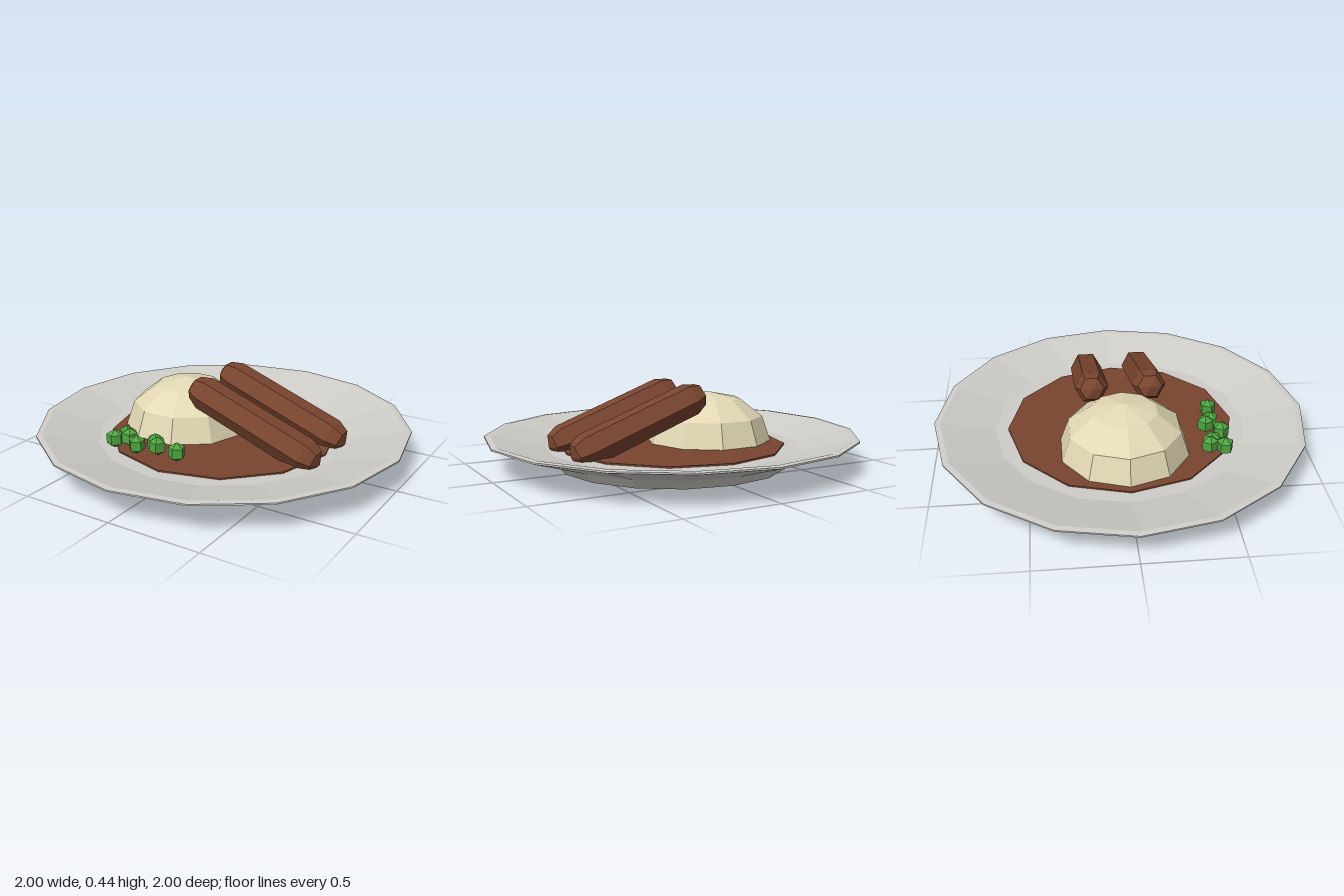
import * as THREE from 'three';

const material = (name, color) => {
  const m = new THREE.MeshStandardMaterial({ color, flatShading: true });
  m.name = name;
  return m;
};

export function createModel() {
  const model = new THREE.Group();
  model.name = 'plateOfFood';
  const ceramic = material('ceramicGrey', 0xcfcdc8);
  const brown = material('gravyBrown', 0x7a4530);
  const cream = material('mashCream', 0xe2d8b5);
  const green = material('peaGreen', 0x4fa640);

  const add = (name, geometry, mat, x = 0, y = 0, z = 0) => {
    const mesh = new THREE.Mesh(geometry, mat);
    mesh.name = name;
    mesh.position.set(x, y, z);
    model.add(mesh);
    return mesh;
  };

  // Plate: foot, sloping underside, thin rim, sloping inside and flat floor
  const profile = [
    [0, 0], [0.62, 0], [0.66, 0.05], [1, 0.157], [1, 0.165],
    [0.97, 0.168], [0.68, 0.1], [0, 0.1],
  ].map(([r, y]) => new THREE.Vector2(r, y));
  add('plate', new THREE.LatheGeometry(profile, 16), ceramic);

  // Gravy pool
  add('gravy', new THREE.CylinderGeometry(0.61, 0.61, 0.008, 12), brown, 0, 0.104, 0);

  // Mash: flattened ten-sided dome
  const dome = new THREE.SphereGeometry(0.345, 10, 3, 0, Math.PI * 2, 0, Math.PI / 2);
  dome.scale(1, 0.265 / 0.345, 1);
  add('mash', dome, cream, -0.23, 0.11, 0);

  // Sausages: hexagonal capsules leaning on the mash
  const sausage = new THREE.CapsuleGeometry(0.09, 0.628, 2, 6, 1);
  sausage.rotateY(Math.PI / 2);
  sausage.rotateZ(Math.PI / 2 - 0.352);
  for (const z of [-0.155, 0.15]) add('sausage', sausage, brown, 0.27, 0.254, z);

  // Peas scattered at the front
  const pea = new THREE.SphereGeometry(0.05, 5, 3);
  [
    [-0.325, 0.435], [-0.29, 0.455], [-0.345, 0.51], [-0.2, 0.515],
    [-0.135, 0.445], [-0.1, 0.475], [0.025, 0.485],
  ].forEach(([x, z], i) => {
    add('pea', pea, green, x, 0.165, z).rotation.y = i * 0.9;
  });

  return model;
}
